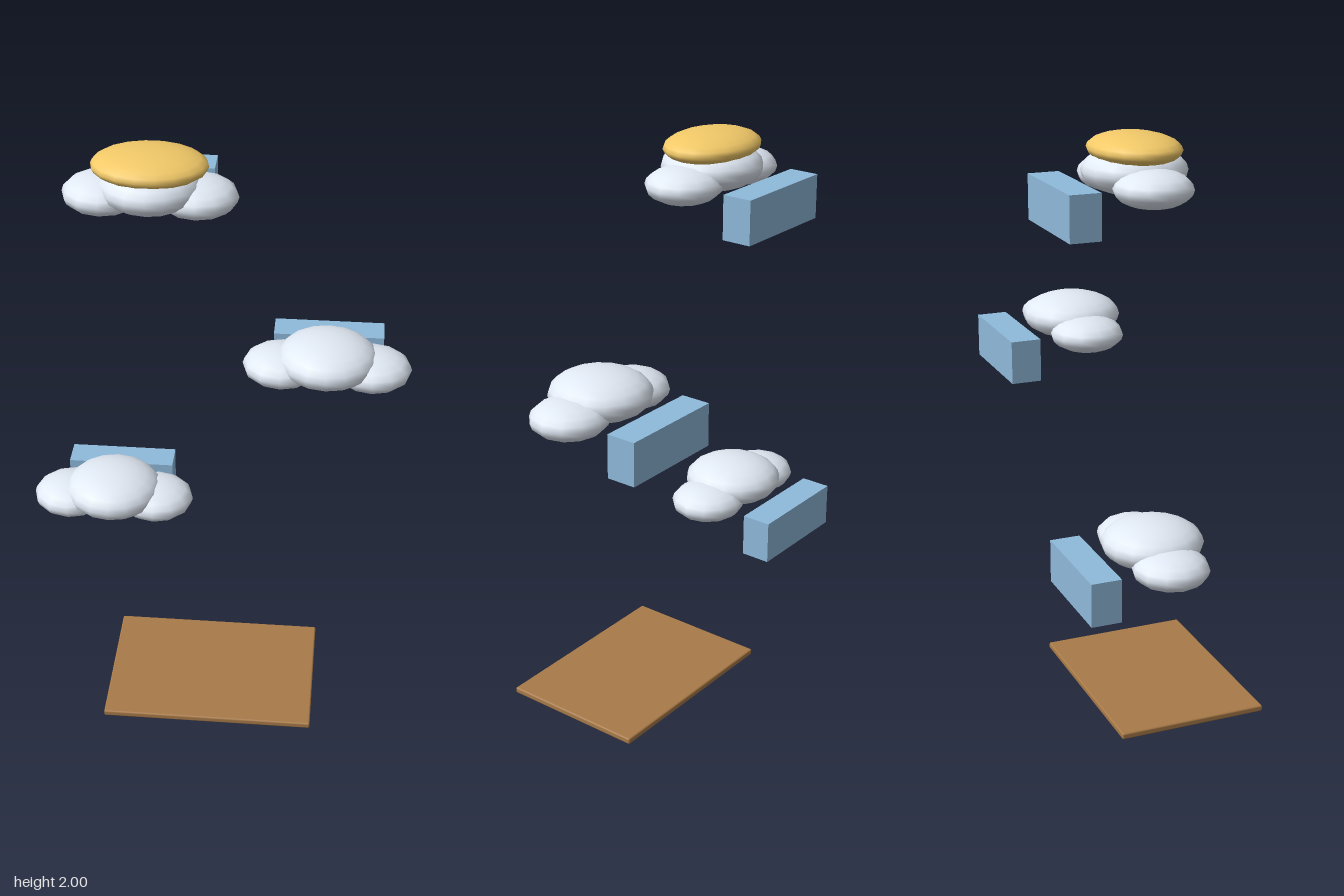
import * as THREE from 'three';
import { RoundedBoxGeometry } from 'three/addons/geometries/RoundedBoxGeometry.js';

const material = (color) => new THREE.MeshStandardMaterial({ color });
const cloudMat = material(0xe1e9f4);
const boxMat = material(0x8fbadb);
const goldMat = material(0xf2c968);
const boardMat = material(0xa87a48);

function add(parent, name, geometry, mat, x, y, z) {
  const mesh = new THREE.Mesh(geometry, mat);
  mesh.name = name;
  mesh.position.set(x, y, z);
  parent.add(mesh);
  return mesh;
}

// Squashed sphere with separate radii
function ellipsoid(rx, ry, rz, segments, rings) {
  return new THREE.SphereGeometry(1, segments, rings).scale(rx, ry, rz);
}

// Three puffs with a block hanging behind them
function createCloud(name, x, y) {
  const cloud = new THREE.Group();
  cloud.name = name;
  cloud.position.set(x, y, -0.07);
  add(cloud, 'middlePuff', ellipsoid(0.167, 0.077, 0.167, 16, 12), cloudMat, 0, 0, 0);
  for (const side of [-1, 1]) {
    add(cloud, side > 0 ? 'leftPuff' : 'rightPuff',
      ellipsoid(0.13, 0.06, 0.125, 12, 10), cloudMat, side * 0.15, -0.033, 0);
  }
  add(cloud, 'rearBlock', new THREE.BoxGeometry(0.374, 0.146, 0.102), boxMat, 0, -0.098, -0.231);
  return cloud;
}

export function createModel() {
  const model = new THREE.Group();
  model.name = 'cloudSteps';

  // Ground board
  add(model, 'board', new RoundedBoxGeometry(0.73, 0.022, 0.52, 2, 0.006), boardMat, 0, 0.011, 0.087);

  // Clouds, lowest to highest
  model.add(createCloud('lowerCloud', -0.365, 0.705));
  model.add(createCloud('middleCloud', 0.365, 1.28));
  const upper = createCloud('upperCloud', -0.21, 1.884);
  model.add(upper);

  // Golden cushion on the highest cloud
  add(upper, 'goldenCushion', ellipsoid(0.186, 0.05, 0.143, 18, 12), goldMat, 0, 0.066, 0);
  return model;
}
